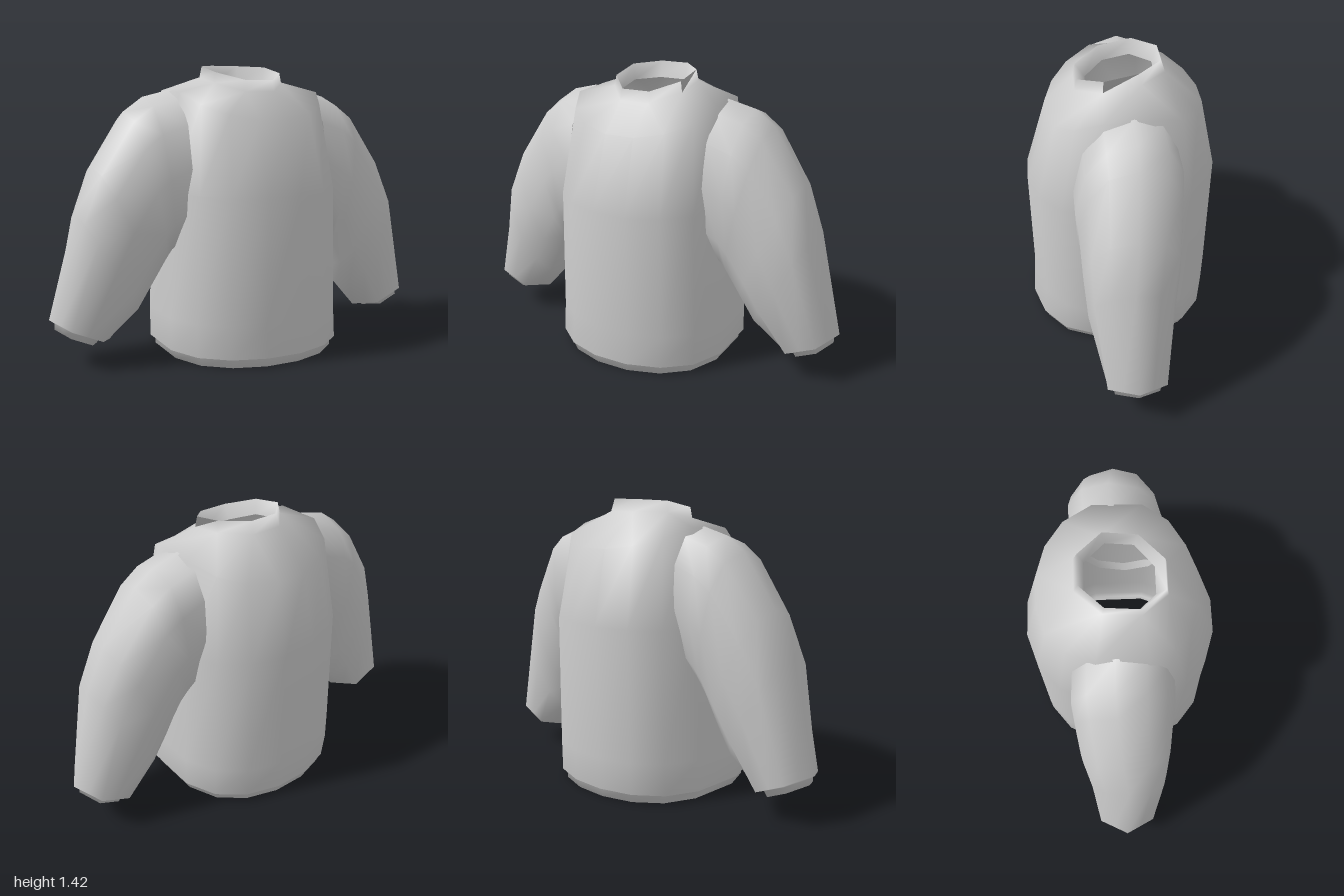
import * as THREE from 'three';
import { mergeVertices } from 'three/addons/utils/BufferGeometryUtils.js';

const knit = new THREE.MeshStandardMaterial({ color: 0xcccccc, side: THREE.DoubleSide });
knit.name = 'grey knit';

// Smooth skin over a list of closed rings with equal point counts
function loft(rings) {
  const n = rings[0].length;
  const index = [];
  for (let j = 0; j < rings.length - 1; j++) {
    for (let i = 0; i < n; i++) {
      const k = (i + 1) % n;
      const a = j * n + i, b = j * n + k, c = b + n, d = a + n;
      index.push(a, b, c, a, c, d);
    }
  }
  const geometry = new THREE.BufferGeometry();
  geometry.setAttribute('position', new THREE.Float32BufferAttribute(rings.flat(2), 3));
  geometry.setIndex(index);
  const merged = mergeVertices(geometry, 1e-5);
  merged.computeVertexNormals();
  return merged;
}

const power = (v, p) => Math.sign(v) * Math.abs(v) ** p;

// Torso ring: half width, front and back depth, height at front, side and back
function torsoRing([width, front, back, yFront, ySide, yBack], octagon = false) {
  const points = [];
  for (let k = 0; k < 16; k++) {
    const angle = octagon
      ? Math.PI / 8 + Math.floor(k / 2) * Math.PI / 4
      : Math.PI / 16 + k * Math.PI / 8;
    const s = Math.sin(angle), c = Math.cos(angle);
    const scale = octagon ? 1.08 : 1.018;
    const y = ySide + (c > 0 ? (yFront - ySide) * c : (yBack - ySide) * -c);
    const z = power(c, octagon ? 1 : 0.72) * (c > 0 ? front : back) * scale;
    points.push([s * width * scale, y, z]);
  }
  return points;
}

// Sleeve ring spanned by an outer point, an inner point, a half depth,
// a z offset and a backward lean of its upper half
function sleeveRing([x1, y1, x2, y2, depth, z = 0, lean = 0], side, hexagon = false) {
  const points = [];
  for (let k = 0; k < 12; k++) {
    const angle = k * Math.PI / 6;
    const p = hexagon ? 1 : 0.87;
    const r = hexagon && k % 2 ? Math.cos(Math.PI / 6) : 1;
    const u = r * power(Math.cos(angle), p), v = r * power(Math.sin(angle), p);
    points.push([
      side * ((x1 + x2) / 2 + u * (x1 - x2) / 2),
      (y1 + y2) / 2 + u * (y1 - y2) / 2,
      z - lean * u + side * v * depth,
    ]);
  }
  return points;
}

function addPart(group, name, geometry) {
  const mesh = new THREE.Mesh(geometry, knit);
  mesh.name = name;
  group.add(mesh);
}

export function createModel() {
  const model = new THREE.Group();
  model.name = 'sweater';

  // Torso with stepped hem, high shoulders and a collar rising to the back
  const torso = [
    [0.412, 0.43, 0.418, 0.03, 0.03, 0.03],
    [0.425, 0.445, 0.43, 0, 0, 0],
    [0.425, 0.445, 0.43, 0.045, 0.045, 0.045],
    [0.45, 0.465, 0.45, 0.045, 0.045, 0.045],
    [0.448, 0.45, 0.455, 0.2, 0.2, 0.2],
    [0.432, 0.455, 0.465, 0.8, 0.82, 0.84],
    [0.38, 0.35, 0.39, 1.15, 1.315, 1.19],
  ].map((r) => torsoRing(r));
  const collar = [
    [0.187, 0.21, 0.21, 1.28, 1.355, 1.36],
    [0.178, 0.2, 0.19, 1.335, 1.405, 1.42],
    [0.162, 0.155, 0.165, 1.27, 1.33, 1.34],
  ].map((r) => torsoRing(r, true));
  addPart(model, 'torso', loft([...torso, ...collar]));

  // Puffed sleeves
  const sleeve = [
    [0.37, 1.295, 0.37, 0.56, 0.243, 0, 0.035],
    [0.51, 1.26, 0.44, 0.5, 0.247, -0.005, 0.035],
    [0.61, 1.19, 0.46, 0.46, 0.237, -0.005, 0.03],
    [0.78, 0.94, 0.52, 0.35, 0.222, 0, 0.015],
    [0.87, 0.72, 0.59, 0.23, 0.2, 0.008],
  ];
  // Six-sided sleeve ends with narrow cuffs closed by a shallow hollow
  const cuff = [
    [1.0, 0.23, 0.71, 0.1, 0.16],
    [0.975, 0.21, 0.755, 0.115, 0.127],
    [0.975, 0.18, 0.775, 0.09, 0.122],
    [0.94, 0.175, 0.8, 0.112, 0.092],
    [0.865, 0.19, 0.865, 0.19, 0],
  ];
  for (const [name, side] of [['leftSleeve', 1], ['rightSleeve', -1]]) {
    addPart(model, name, loft([
      ...sleeve.map((r) => sleeveRing(r, side)),
      ...cuff.map((r) => sleeveRing(r, side, true)),
    ]));
  }
  return model;
}
